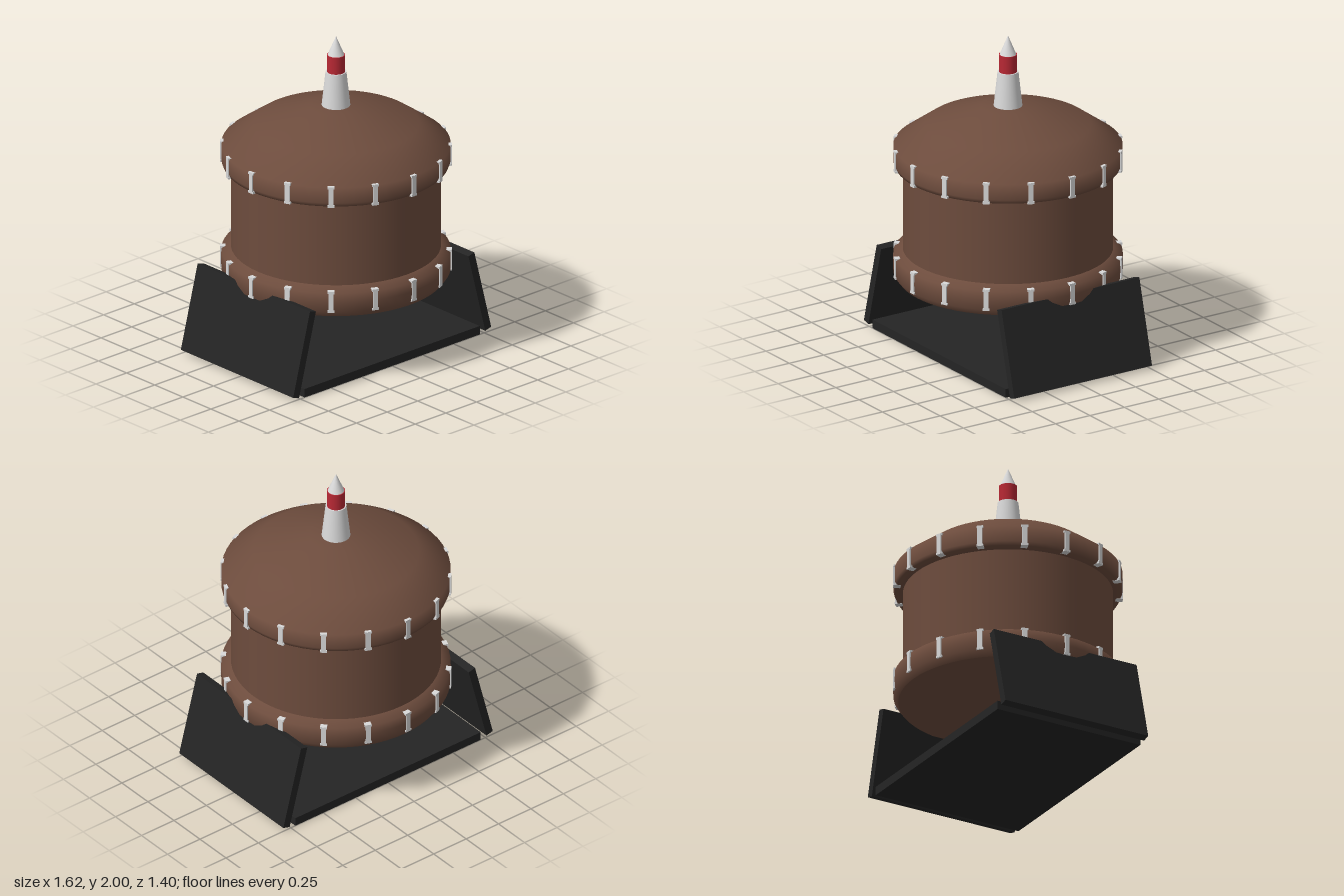
import * as THREE from 'three';

const mat = (name, color) => {
  const m = new THREE.MeshStandardMaterial({ color });
  m.name = name;
  return m;
};

export function createModel() {
  const brown = mat('brown', 0x6d4c3d);
  const black = mat('black', 0x242424);
  const white = mat('white', 0xd9d9d9);
  const red = mat('red', 0xb82834);

  const model = new THREE.Group();
  model.name = 'domedTank';

  const add = (name, geometry, material, x = 0, y = 0, z = 0, parent = model) => {
    const mesh = new THREE.Mesh(geometry, material);
    mesh.name = name;
    mesh.position.set(x, y, z);
    parent.add(mesh);
    return mesh;
  };
  // Turned part, profile listed from bottom to top as [radius, height]
  const turned = (name, profile) =>
    add(name, new THREE.LatheGeometry(profile.map(([r, y]) => new THREE.Vector2(r, y)), 64), brown);

  // Tank body
  turned('tankFloor', [[0, 0.45], [0.66, 0.45]]);
  turned('lowerRing', [[0.66, 0.45], [0.69, 0.49], [0.692, 0.55], [0.69, 0.61], [0.633, 0.64]]);
  turned('tankWall', [[0.633, 0.62], [0.633, 1.19]]);
  turned('upperRingAndDome', [[0.633, 1.17], [0.68, 1.175], [0.69, 1.2], [0.69, 1.3],
    [0.5, 1.435], [0.165, 1.55], [0, 1.556]]);

  // Clamps around both rings: a thin strap with a wider cap at each end
  const strap = new THREE.BoxGeometry(0.03, 0.13, 0.03);
  const cap = new THREE.BoxGeometry(0.042, 0.014, 0.045);
  [['lowerClamp', 0.555], ['upperClamp', 1.24]].forEach(([name, y]) => {
    for (let i = 0; i < 16; i++) {
      const clamp = new THREE.Group();
      clamp.name = name;
      clamp.position.y = y;
      clamp.rotation.y = (i * Math.PI) / 8;
      add('strap', strap, white, 0, 0, 0.683, clamp);
      add('capTop', cap, white, 0, 0.061, 0.675, clamp);
      add('capBottom', cap, white, 0, -0.061, 0.675, clamp);
      model.add(clamp);
    }
  });

  // Spire on the dome
  add('spireBase', new THREE.CylinderGeometry(0.063, 0.087, 0.22, 32), white, 0, 1.66);
  add('spireBand', new THREE.CylinderGeometry(0.055, 0.055, 0.11, 32), red, 0, 1.825);
  add('spireTip', new THREE.ConeGeometry(0.05, 0.12, 32), white, 0, 1.94);

  // Stand: base plate and two leaning side panels
  add('basePlate', new THREE.BoxGeometry(1.43, 0.055, 1), black, 0, 0.0275);
  for (const side of [1, -1]) {
    const panel = add(side > 0 ? 'leftPanel' : 'rightPanel',
      new THREE.BoxGeometry(0.05, 0.543, 1), black, side * 0.715, 0.28);
    panel.rotation.z = side * 0.255;
  }
  return model;
}
